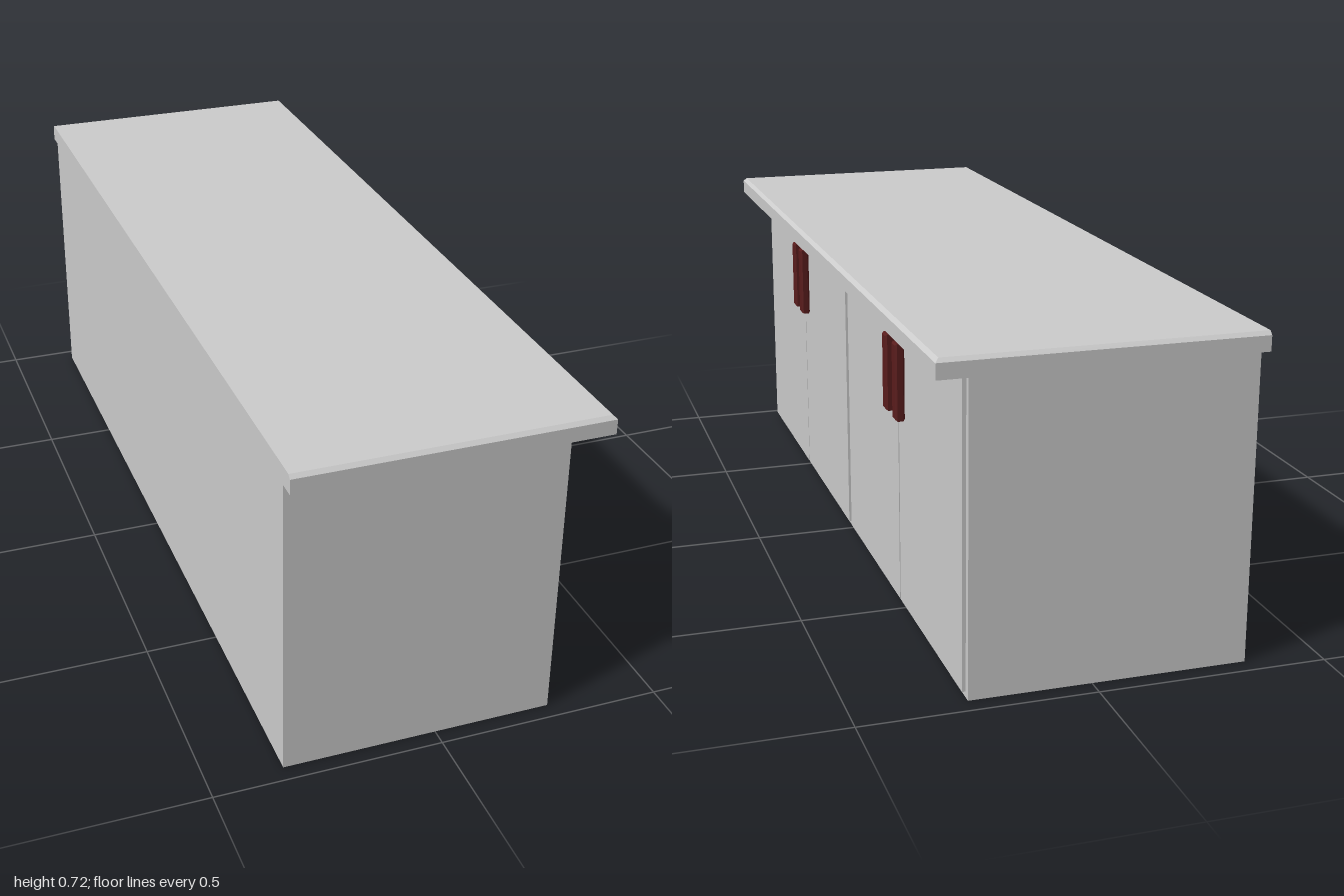
import * as THREE from 'three';

const grey = new THREE.MeshStandardMaterial({ color: 0xcccccc, flatShading: true });
const red = new THREE.MeshStandardMaterial({ color: 0x5a1c1c, flatShading: true });

// Box given by its limits on each axis
function block(name, [x0, x1], [y0, y1], [z0, z1]) {
  const mesh = new THREE.Mesh(new THREE.BoxGeometry(x1 - x0, y1 - y0, z1 - z0), grey);
  mesh.position.set((x0 + x1) / 2, (y0 + y1) / 2, (z0 + z1) / 2);
  mesh.name = name;
  return mesh;
}

// Worktop slab: top edge chamfered at the front and both ends, square at the back
function worktop() {
  const [back, front, bottom, top, half, c] = [-0.338, 0.338, 0.677, 0.718, 1, 0.008];
  const geo = new THREE.BoxGeometry(2, 2, 2, 1, 2, 1);
  const p = geo.attributes.position;
  for (let i = 0; i < p.count; i++) {
    const level = p.getY(i);
    const inset = level > 0.5 ? c : 0;
    const y = level > 0.5 ? top : level > -0.5 ? top - c : bottom;
    p.setXYZ(i, p.getX(i) > 0 ? front - inset : back, y, Math.sign(p.getZ(i)) * (half - inset));
  }
  const flat = geo.toNonIndexed();
  flat.computeVertexNormals();
  const mesh = new THREE.Mesh(flat, grey);
  mesh.name = 'worktop';
  return mesh;
}

// Upright bar handle with chamfered front and back rims
function handle(z) {
  const [w, h, depth, b] = [0.032, 0.171, 0.021, 0.004];
  const [a, t] = [w / 2 - b, h / 2 - b];
  const outline = new THREE.Shape([
    new THREE.Vector2(-a, -t), new THREE.Vector2(a, -t),
    new THREE.Vector2(a, t), new THREE.Vector2(-a, t),
  ]);
  const geo = new THREE.ExtrudeGeometry(outline, {
    depth: depth - 2 * b, bevelEnabled: true, bevelThickness: b, bevelSize: b, bevelSegments: 1,
  });
  geo.rotateY(Math.PI / 2);
  const mesh = new THREE.Mesh(geo, red);
  mesh.position.set(0.27 + b, 0.5325, z);
  mesh.name = 'handle';
  return mesh;
}

export function createModel() {
  const group = new THREE.Group();
  group.name = 'sideboard';
  group.add(block('cabinet', [-0.338, 0.262], [0, 0.677], [-0.96, 0.963]), worktop());

  // Two pairs of doors along the right side
  const doors = [[-0.945, -0.482], [-0.476, -0.012], [0.012, 0.482], [0.486, 0.947]];
  for (const span of doors) group.add(block('door', [0.262, 0.27], [0.013, 0.67], span));

  for (const z of [-0.518, -0.438, 0.444, 0.524]) group.add(handle(z));
  return group;
}
